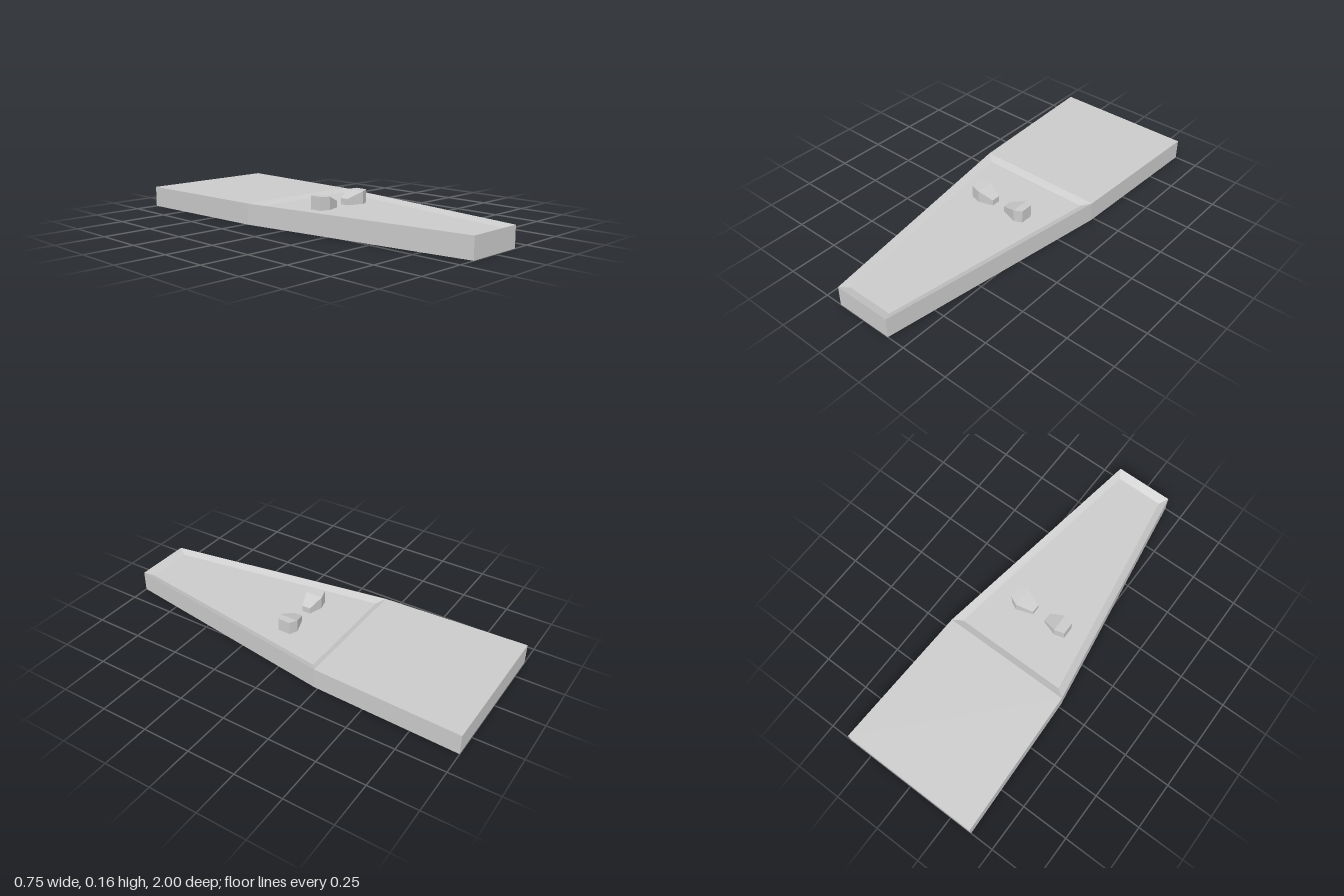
import * as THREE from 'three';

const material = new THREE.MeshStandardMaterial({ color: 0xcccccc, flatShading: true });

// Flat-shaded mesh from convex polygons, corners counter-clockwise seen from outside
function polyMesh(name, polygons) {
  const positions = [];
  for (const p of polygons) {
    for (let i = 1; i < p.length - 1; i++) positions.push(...p[0], ...p[i], ...p[i + 1]);
  }
  const geometry = new THREE.BufferGeometry();
  geometry.setAttribute('position', new THREE.Float32BufferAttribute(positions, 3));
  geometry.computeVertexNormals();
  const mesh = new THREE.Mesh(geometry, material);
  mesh.name = name;
  return mesh;
}

// Quads joining two rings of equal length
function band(a, b) {
  return a.map((p, i) => {
    const j = (i + 1) % a.length;
    return [p, a[j], b[j], b[i]];
  });
}

// Lift an [x, z] outline to a height
const ring = (outline, y) => outline.map(([x, z]) => [x, y, z]);

export function createModel() {
  const group = new THREE.Group();
  const top = 0.108, floorY = 0.091;

  // Tapered slab: outline counter-clockwise from above
  const outline = [[0.374, -1], [-0.374, -1], [-0.345, -0.23], [-0.155, 1], [0.155, 1], [0.345, -0.23]];
  const lower = ring(outline, 0), upper = ring(outline, top);
  group.add(polyMesh('slab', [
    ...band(lower, upper),
    [...lower].reverse(),
    [upper[0], upper[1], upper[2], upper[5]],
  ]));

  // Shallow tray with sloped edges in the narrowing front part
  const rim = [upper[5], upper[2], upper[3], upper[4]];
  const floor = ring([[0.3, -0.195], [-0.3, -0.195], [-0.127, 0.955], [0.127, 0.955]], floorY);
  group.add(polyMesh('recess', [...band(rim, floor), floor]));

  // Pair of six-sided pegs, their tops falling towards the middle
  function peg(name, side, inner, mid, outer, zMin, zMax) {
    const base = [
      [mid, zMin], [inner, 0.044], [inner, 0.09],
      [mid, zMax], [outer, 0.1], [outer, 0.034],
    ].map(([x, z]) => [x * side, z]);
    if (side < 0) base.reverse();
    const heights = new Map([[inner, 0.123], [mid, 0.157], [outer, 0.16]]);
    const bottom = ring(base, floorY);
    const cap = base.map(([x, z]) => [x, heights.get(Math.abs(x)), z]);
    const at = (x) => cap.filter((p) => Math.abs(p[0]) === x);
    // Two flat top facets meeting at the ridge across the middle
    const facet = (x) => cap.filter((p) => at(mid).includes(p) || at(x).includes(p));
    group.add(polyMesh(name, [...band(bottom, cap), facet(inner), facet(outer), [...bottom].reverse()]));
  }
  peg('leftPeg', 1, 0.036, 0.122, 0.163, 0.014, 0.118);
  peg('rightPeg', -1, 0.038, 0.113, 0.166, 0.02, 0.114);

  return group;
}
